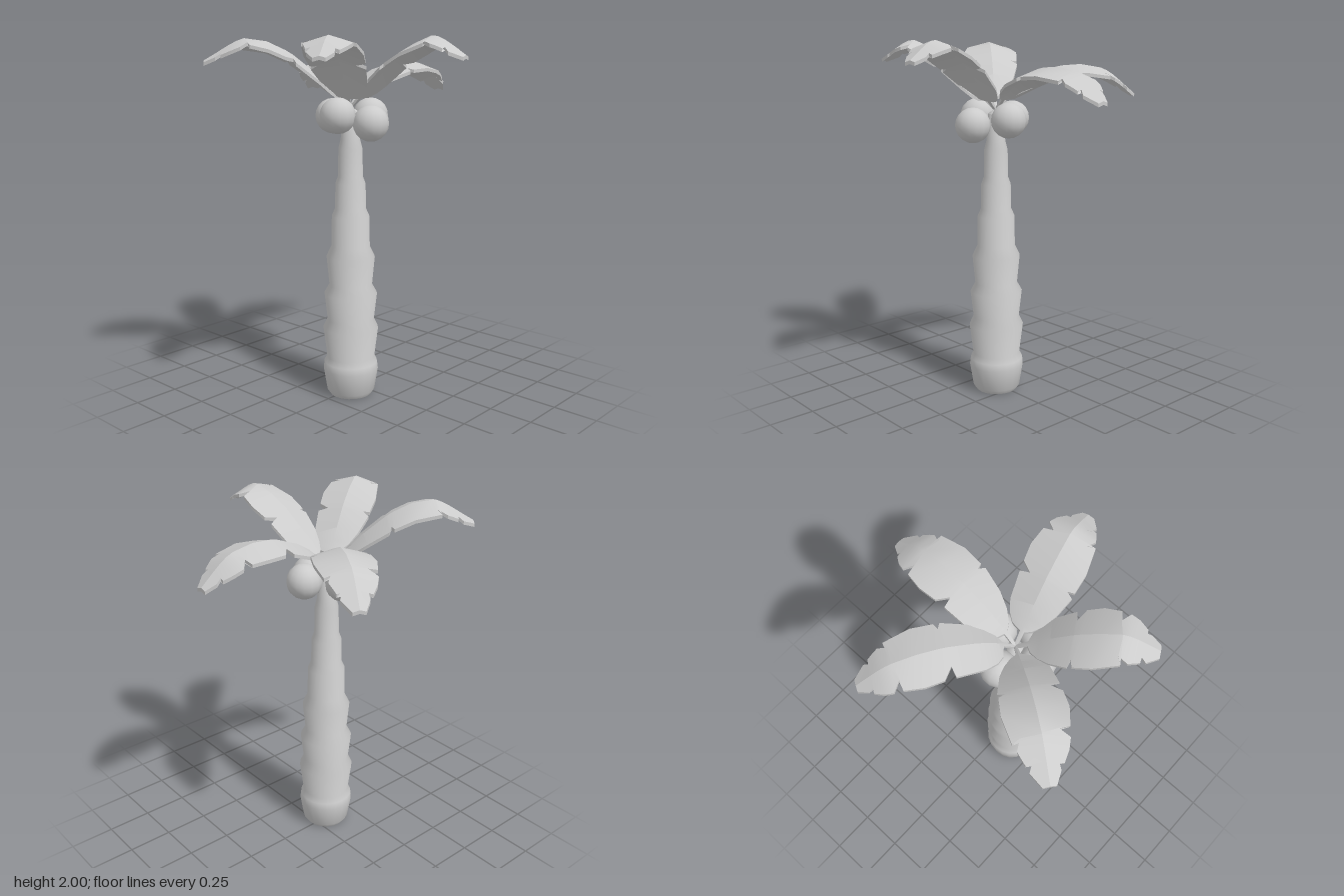
import * as THREE from 'three';
import { toCreasedNormals } from 'three/addons/utils/BufferGeometryUtils.js';

const CX = -0.085, CZ = 0.02;

// Leaf outline, [distance, half width] along each edge, with torn notches
const LENGTH = 207, UNIT = 1 / 267;
const EDGE_A = [[0, 2], [21, 3], [27, 17], [38, 26], [55, 33], [92, 37], [94, 23], [105, 38], [127, 40],
  [149, 35], [150, 21], [160, 33], [172, 29], [185, 21], [184, 15], [192, 16], [207, 8]];
const EDGE_B = [[0, 2], [21, 3], [28, 12], [42, 22], [62, 31], [92, 39], [96, 30], [99, 39], [125, 41],
  [157, 35], [153, 25], [165, 31], [172, 28], [181, 24], [174, 13], [189, 21], [207, 9]];

// Folded leaf of even thickness, lofted along an arching midrib that runs towards +x
function leafGeometry(path) {
  const curve = new THREE.CatmullRomCurve3(path.map(([d, y]) => new THREE.Vector3(d, y, 0)));
  const thickness = 0.018, droop = 0.28;
  const positions = [], index = [];
  const add = (s, w, down) => {
    const p = curve.getPointAt(Math.min(1, s / LENGTH));
    positions.push(p.x, p.y - Math.abs(w) * UNIT * droop - down, w * UNIT);
  };
  let rib = -1;
  EDGE_A.forEach(([sa, wa], i) => {
    const [sb, wb] = EDGE_B[i];
    rib = i === 0 ? 0 : Math.max(rib + 1, (sa + sb) / 2);
    add(sa, -wa, 0);
    add(rib, 0, 0);
    add(sb, wb, 0);
    add(sb, wb, thickness);
    add(rib, 0, thickness);
    add(sa, -wa, thickness);
  });
  const n = EDGE_A.length;
  for (let i = 0; i < n - 1; i++) {
    for (let j = 0; j < 6; j++) {
      const a = i * 6 + j, b = i * 6 + (j + 1) % 6, c = a + 6, d = b + 6;
      index.push(a, b, c, b, d, c);
    }
  }
  // End caps
  const e = (n - 1) * 6;
  index.push(e, e + 1, e + 4, e, e + 4, e + 5, e + 1, e + 2, e + 3, e + 1, e + 3, e + 4);
  index.push(0, 4, 1, 0, 5, 4, 1, 3, 2, 1, 4, 3);
  const g = new THREE.BufferGeometry();
  g.setAttribute('position', new THREE.Float32BufferAttribute(positions, 3));
  g.setIndex(index);
  return toCreasedNormals(g, 0.4);
}

export function createModel() {
  const group = new THREE.Group();
  const material = new THREE.MeshStandardMaterial({ color: 0xcccccc });
  const leafMaterial = new THREE.MeshStandardMaterial({ color: 0xcccccc, side: THREE.DoubleSide });
  const addMesh = (name, geometry, x, y, z, mat = material) => {
    const mesh = new THREE.Mesh(geometry, mat);
    mesh.name = name;
    mesh.position.set(x, y, z);
    group.add(mesh);
    return mesh;
  };

  // Trunk: stacked rings, each flaring towards its top
  const profile = [[0, 0], [0.118, 0], [0.135, 0.025], [0.155, 0.15], [0.15, 0.19], [0.134, 0.22],
    [0.155, 0.39], [0.131, 0.44], [0.148, 0.59], [0.12, 0.64], [0.135, 0.8], [0.107, 0.86],
    [0.104, 1.03], [0.086, 1.07], [0.083, 1.21], [0.068, 1.25], [0.066, 1.4], [0.053, 1.45],
    [0.042, 1.6], [0, 1.63]];
  const trunk = new THREE.LatheGeometry(profile.map(([r, y]) => new THREE.Vector2(r, y)), 20);
  addMesh('trunk', toCreasedNormals(trunk, 0.9), CX, 0, CZ);

  // Coconuts around the top of the trunk
  const nut = new THREE.SphereGeometry(0.096, 14, 10);
  [['coconutFront', -0.095, 1.545, 0.175], ['coconutBack', -0.09, 1.57, -0.105],
    ['coconutLeft', 0.05, 1.573, 0.045], ['coconutRight', -0.21, 1.585, 0.045]]
    .forEach(([name, x, y, z]) => addMesh(name, nut, x, y, z));

  // Leaves: tip direction [x, z] and midrib [distance, height]
  const low = [[0, 1.63], [0.12, 1.75], [0.28, 1.835], [0.46, 1.865], [0.62, 1.835], [0.785, 1.71]];
  const high = [[0, 1.63], [0.1, 1.73], [0.22, 1.85], [0.35, 1.94], [0.49, 1.995], [0.665, 1.9]];
  const middle = [[0, 1.63], [0.11, 1.73], [0.25, 1.86], [0.4, 1.95], [0.54, 1.985], [0.765, 1.87]];
  [['leafLeft', 0.78, 0, low], ['leafBackLeft', 0.4, -0.69, low], ['leafBackRight', -0.6, -0.45, middle],
    ['leafFrontRight', -0.58, 0.34, high], ['leafFront', 0.125, 0.65, high]]
    .forEach(([name, dx, dz, path]) => {
      addMesh(name, leafGeometry(path), CX, 0, CZ, leafMaterial).rotation.y = Math.atan2(-dz, dx);
    });
  return group;
}
